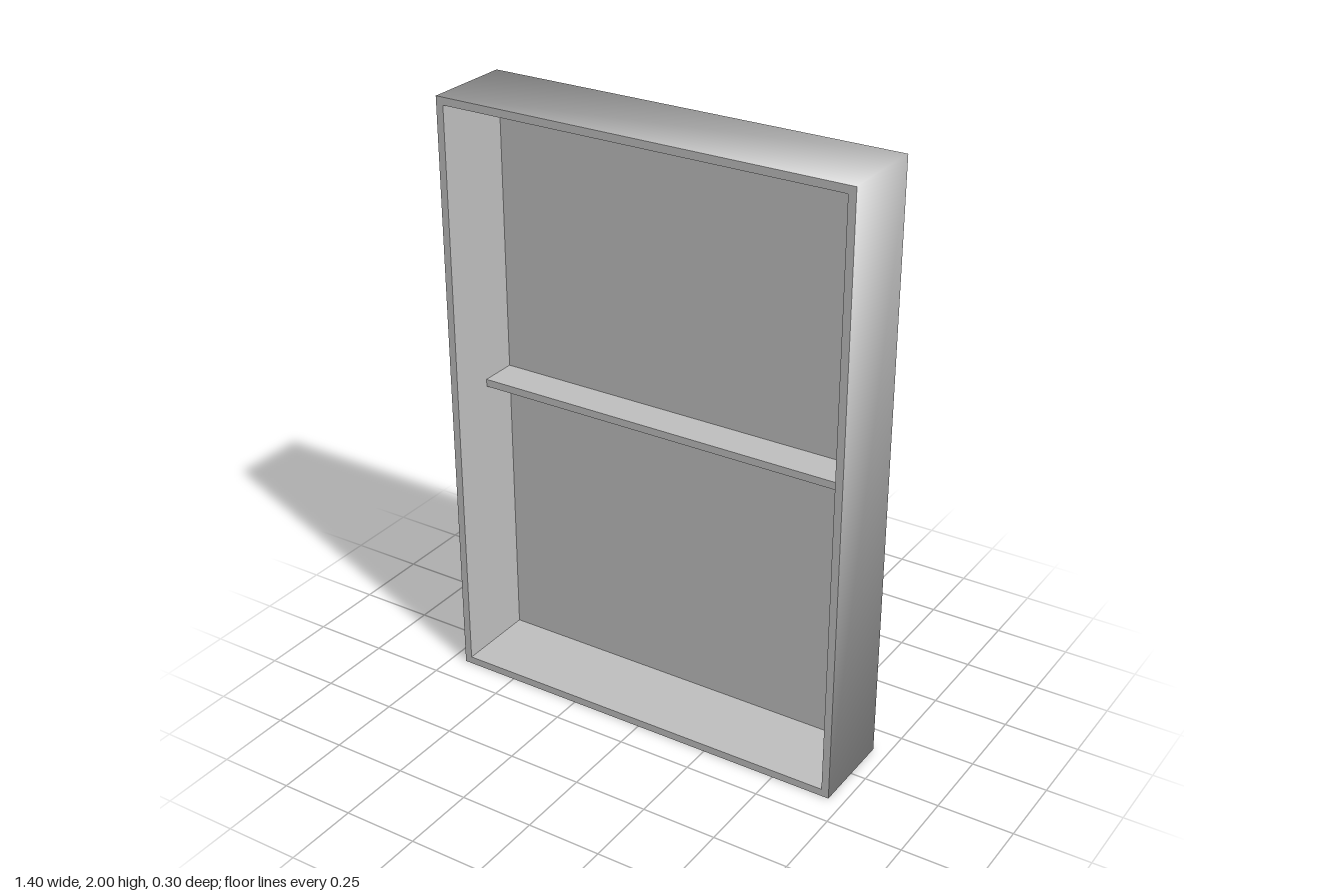
import * as THREE from 'three';

const W = 1.4, H = 2, D = 0.3, T = 0.025; // outer size and board thickness

// Box without its front (+z) face
function openBox(w, h, d) {
  const g = new THREE.BoxGeometry(w, h, d);
  const index = Array.from(g.index.array);
  index.splice(24, 6);
  g.setIndex(index);
  g.clearGroups();
  return g;
}

export function createModel() {
  const model = new THREE.Group();
  model.name = 'wallCabinet';
  const grey = new THREE.MeshStandardMaterial({ color: 0xbfbfbf });
  grey.name = 'grey';

  function add(name, geometry, x, y, z) {
    const mesh = new THREE.Mesh(geometry, grey);
    mesh.name = name;
    mesh.position.set(x, y, z);
    model.add(mesh);
  }

  // Outer case, shaded softly across its corners
  const outer = openBox(W, H, D);
  const p = outer.attributes.position, n = outer.attributes.normal;
  const k = 1 / Math.sqrt(3);
  for (let i = 0; i < p.count; i++) {
    n.setXYZ(i, Math.sign(p.getX(i)) * k, Math.sign(p.getY(i)) * k, Math.sign(p.getZ(i)) * k);
  }
  add('outerCase', outer, 0, H / 2, 0);

  // Inner lining: walls, floor, ceiling and back, facing inwards
  const w = W - 2 * T, h = H - 2 * T;
  const inner = openBox(w, h, D - T);
  inner.setIndex(Array.from(inner.index.array).reverse());
  const m = inner.attributes.normal;
  for (let i = 0; i < m.count; i++) m.setXYZ(i, -m.getX(i), -m.getY(i), -m.getZ(i));
  add('innerLining', inner, 0, H / 2, T / 2);

  // Front rim joining case and lining
  const rect = (C, a, b) => new C([
    new THREE.Vector2(-a / 2, -b / 2), new THREE.Vector2(a / 2, -b / 2),
    new THREE.Vector2(a / 2, b / 2), new THREE.Vector2(-a / 2, b / 2),
  ]);
  const rim = rect(THREE.Shape, W, H);
  rim.holes.push(rect(THREE.Path, w, h));
  add('frontRim', new THREE.ShapeGeometry(rim), 0, H / 2, D / 2);

  // Half-depth shelf against the back
  const depth = D / 2 - T;
  add('shelf', new THREE.BoxGeometry(w, T, depth), 0, H / 2, -depth / 2);

  return model;
}
